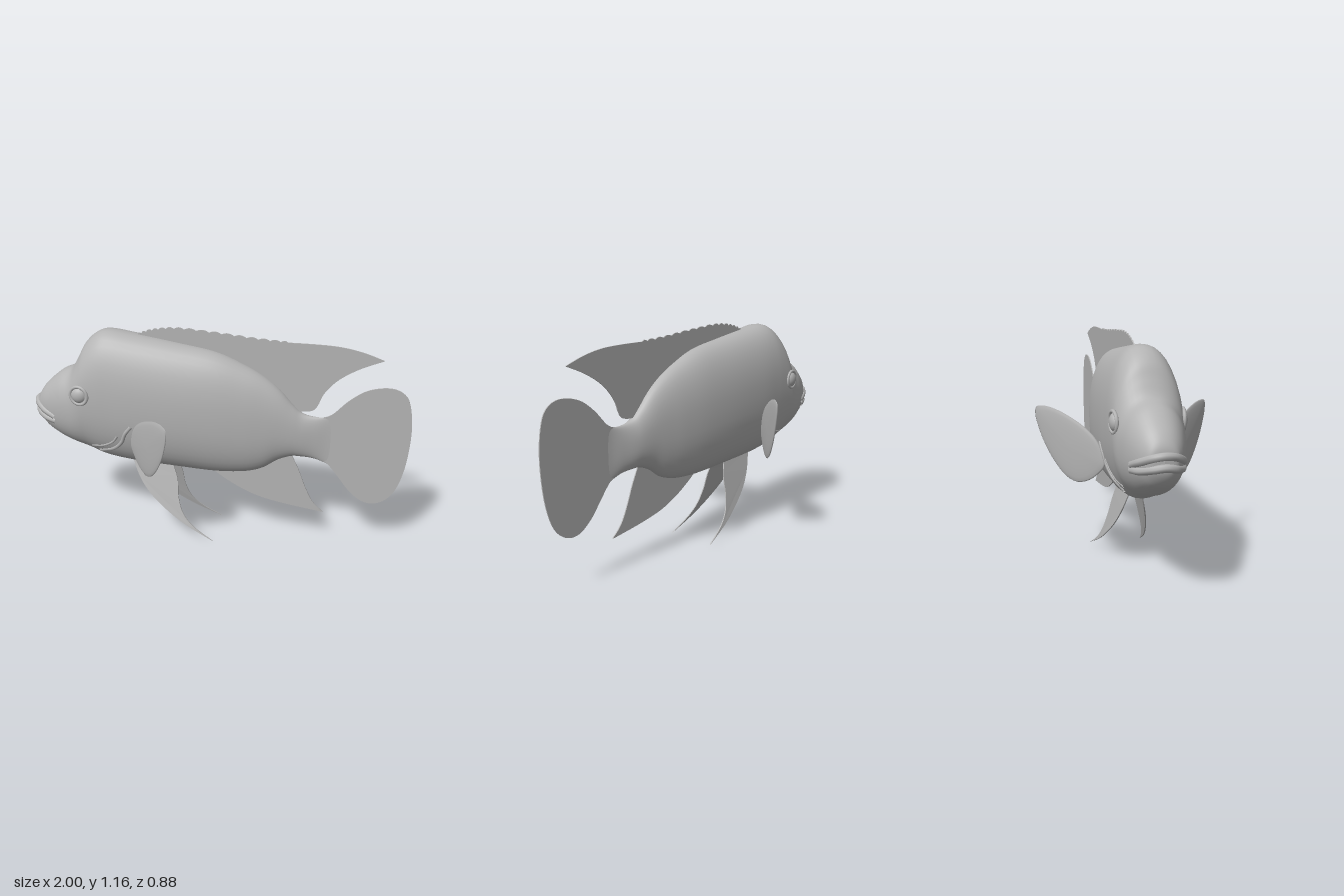
import * as THREE from 'three';

const V2 = (p) => new THREE.Vector2(p[0], p[1]);
const V3 = (p) => new THREE.Vector3(p[0], p[1], p[2]);

// Body stations from snout to tail root: x, top, bottom, half width
const STATIONS = [
  [-0.972, 0.7, 0.68, 0.0], [-0.965, 0.755, 0.635, 0.055], [-0.94, 0.8, 0.59, 0.082], [-0.9, 0.842, 0.555, 0.107],
  [-0.83, 0.898, 0.515, 0.134], [-0.765, 0.93, 0.49, 0.15], [-0.72, 1.0, 0.475, 0.16], [-0.68, 1.07, 0.46, 0.164],
  [-0.62, 1.12, 0.435, 0.167], [-0.55, 1.135, 0.418, 0.169], [-0.42, 1.118, 0.403, 0.17], [-0.2, 1.085, 0.39, 0.16],
  [0, 1.05, 0.38, 0.14], [0.15, 0.99, 0.39, 0.115], [0.25, 0.935, 0.42, 0.093], [0.33, 0.872, 0.475, 0.074],
  [0.4, 0.795, 0.503, 0.057], [0.45, 0.75, 0.505, 0.043], [0.52, 0.735, 0.498, 0.022], [0.6, 0.74, 0.47, 0.003],
];
const profile = new THREE.CatmullRomCurve3(STATIONS.map(V3), false, 'catmullrom', 0.5);
const widths = new THREE.SplineCurve(STATIONS.map((s) => new THREE.Vector2(s[0], s[3])));

function section(t) {
  const p = profile.getPoint(t);
  return { x: p.x, mid: (p.y + p.z) / 2, half: (p.y - p.z) / 2, w: Math.max(0, widths.getPoint(t).y) };
}

// Depth of the flank at a given x and y
function flankZ(x, y) {
  let lo = 0, hi = 1;
  for (let i = 0; i < 24; i++) {
    const m = (lo + hi) / 2;
    if (profile.getPoint(m).x < x) lo = m; else hi = m;
  }
  const s = section(lo), k = Math.min(1, Math.abs((y - s.mid) / s.half));
  return s.w * Math.pow(1 - Math.pow(k, 2.2), 1 / 2.2);
}

function gridGeometry(rows, cols, point) {
  const pos = [], idx = [];
  for (let i = 0; i <= rows; i++) for (let j = 0; j < cols; j++) pos.push(...point(i / rows, j / cols));
  for (let i = 0; i < rows; i++) {
    for (let j = 0; j < cols; j++) {
      const a = i * cols + j, b = i * cols + ((j + 1) % cols);
      idx.push(a, a + cols, b, b, a + cols, b + cols);
    }
  }
  const g = new THREE.BufferGeometry();
  g.setAttribute('position', new THREE.Float32BufferAttribute(pos, 3));
  g.setIndex(idx);
  g.computeVertexNormals();
  return g;
}

// Superellipse rings lofted along the body
function bodyGeometry() {
  const soft = (v) => Math.sign(v) * Math.pow(Math.abs(v), 2 / 2.2);
  return gridGeometry(95, 40, (u, v) => {
    const s = section(u), a = v * Math.PI * 2;
    return [s.x, s.mid + s.half * soft(Math.sin(a)), s.w * soft(Math.cos(a))];
  });
}

// Thin fin whose outline is a chain of smooth edges meeting at corners
function finGeometry(edges, thick = 0.006) {
  const pts = edges.flatMap((e) => (e.length < 3 ? e.map(V2) : new THREE.SplineCurve(e.map(V2)).getPoints(e.length * 4)));
  const clean = pts.filter((p, i) => i === 0 || p.distanceTo(pts[i - 1]) > 1e-4);
  const g = new THREE.ExtrudeGeometry(new THREE.Shape(clean), { depth: thick, bevelEnabled: false });
  return g.translate(0, 0, -thick / 2);
}

// Scalloped spiny front part of the dorsal edge
function dorsalEdge() {
  const base = new THREE.SplineCurve([[-0.41, 1.115], [-0.33, 1.143], [-0.2, 1.158], [0, 1.147], [0.2, 1.13], [0.36, 1.122]].map(V2));
  const pts = [];
  for (let i = 0; i <= 96; i++) {
    const p = base.getPoint(i / 96);
    pts.push([p.x, p.y + 0.009 * Math.abs(Math.sin((i / 96) * Math.PI * 16)) - 0.002]);
  }
  return pts;
}

// Paddle fin with a lens section, swept outward and back
function pectoralGeometry() {
  const outline = new THREE.CatmullRomCurve3([
    [0.15, 0.6], [0.175, 0.665], [0.225, 0.722], [0.3, 0.772], [0.36, 0.798], [0.405, 0.805], [0.433, 0.797], [0.44, 0.765],
    [0.425, 0.69], [0.395, 0.605], [0.35, 0.52], [0.305, 0.465], [0.26, 0.445], [0.21, 0.463], [0.165, 0.51], [0.143, 0.55],
  ].map(([z, y]) => new THREE.Vector3(z, y, 0)), true);
  return gridGeometry(12, 48, (u, v) => {
    const a = u * Math.PI, k = Math.sin(a), d = Math.cos(a) * 0.013, p = outline.getPoint(v);
    const z = 0.29 + (p.x - 0.29) * k, y = 0.62 + (p.y - 0.62) * k;
    return [-0.41 + (z - 0.165) * 0.93 + d * 0.73, y, z - d * 0.68];
  });
}

// Trailing belly fin, splayed outward toward its tip
function pelvicGeometry() {
  const g = finGeometry([
    [[-0.46, 0.42], [-0.42, 0.325], [-0.36, 0.24], [-0.27, 0.16], [-0.15, 0.08], [0.005, 0.006]],
    [[0.005, 0.006], [-0.1, 0.07], [-0.165, 0.14], [-0.195, 0.23], [-0.205, 0.33], [-0.24, 0.42]],
  ]);
  const p = g.attributes.position;
  for (let i = 0; i < p.count; i++) {
    const drop = 0.4 - p.getY(i);
    p.setZ(i, p.getZ(i) + 0.035 + 0.26 * drop + 0.05 * (p.getX(i) + 0.33) * Math.max(0, 0.3 - drop));
  }
  g.computeVertexNormals();
  return g;
}

const tube = (points, r, n = 40) =>
  new THREE.TubeGeometry(new THREE.CatmullRomCurve3(points.map(V3)), n, r, 8);

// Lip bent around the snout, given for one side from the corner to the middle
const lip = (half, r) => tube([...half, ...half.slice(0, -1).reverse().map(([x, y, z]) => [x, y, -z])], r);

// Raised line lying on the flank
const ridge = (pts, r) => tube(pts.map(([x, y]) => [x, y, flankZ(x, y) - r * 0.35]), r, 28);

export function createModel() {
  const model = new THREE.Group();
  model.name = 'fish';
  const skin = new THREE.MeshStandardMaterial({ color: 0xb4b4b4, side: THREE.DoubleSide });
  skin.name = 'grey';
  const add = (name, geometry, parent = model) => {
    const m = new THREE.Mesh(geometry, skin);
    m.name = name;
    parent.add(m);
    return m;
  };

  add('body', bodyGeometry());
  add('upperLip', lip([[-0.855, 0.663, 0.112], [-0.92, 0.69, 0.09], [-0.97, 0.716, 0.045], [-0.982, 0.724, 0]], 0.018));
  add('lowerLip', lip([[-0.85, 0.64, 0.112], [-0.91, 0.648, 0.09], [-0.965, 0.665, 0.045], [-0.98, 0.673, 0]], 0.018));

  // Fins on the centre line
  add('dorsalFin', finGeometry([
    dorsalEdge(),
    [[0.36, 1.122], [0.5, 1.122], [0.62, 1.116], [0.73, 1.095], [0.835, 1.06]],
    [[0.835, 1.06], [0.72, 1.01], [0.62, 0.945], [0.555, 0.87], [0.525, 0.8], [0.5, 0.77], [0.45, 0.76], [0.4, 0.765]],
    [[0.4, 0.765], [0.3, 0.86], [0.15, 0.95], [0, 1.0], [-0.2, 1.04], [-0.41, 1.08]],
  ]));
  add('tailFin', finGeometry([
    [[0.54, 0.73], [0.6, 0.755], [0.68, 0.838], [0.77, 0.9], [0.88, 0.92], [0.955, 0.885], [0.988, 0.8], [1, 0.66],
      [0.985, 0.48], [0.945, 0.345], [0.88, 0.275], [0.8, 0.265], [0.72, 0.318], [0.65, 0.405], [0.59, 0.475], [0.54, 0.5]],
  ]));
  add('analFin', finGeometry([
    [[-0.05, 0.4], [0.04, 0.335], [0.14, 0.278], [0.25, 0.235], [0.4, 0.205], [0.585, 0.18]],
    [[0.585, 0.18], [0.525, 0.24], [0.48, 0.33], [0.445, 0.42], [0.4, 0.515]],
    [[0.3, 0.52], [0.1, 0.44]],
  ]));

  // Paired parts, mirrored across the centre line
  for (const side of [1, -1]) {
    const half = new THREE.Group();
    half.name = side > 0 ? 'leftSide' : 'rightSide';
    half.scale.z = side;
    model.add(half);
    const eyeZ = flankZ(-0.695, 0.815);
    const eye = add('eye', new THREE.SphereGeometry(0.043, 24, 16), half);
    eye.position.set(-0.695, 0.815, eyeZ - 0.012);
    eye.scale.z = 0.65;
    const rim = add('eyeRim', new THREE.TorusGeometry(0.048, 0.009, 8, 28), half);
    rim.position.set(-0.695, 0.815, eyeZ - 0.003);
    rim.rotation.y = -0.14;
    add('gillEdge', ridge([[-0.42, 0.665], [-0.455, 0.62], [-0.48, 0.565], [-0.53, 0.515], [-0.62, 0.48]], 0.011), half);
    add('cheekFold', ridge([[-0.5, 0.6], [-0.53, 0.56], [-0.59, 0.525], [-0.66, 0.51]], 0.007), half);
    add('pectoralFin', pectoralGeometry(), half);
    add('pelvicFin', pelvicGeometry(), half);
  }
  return model;
}
